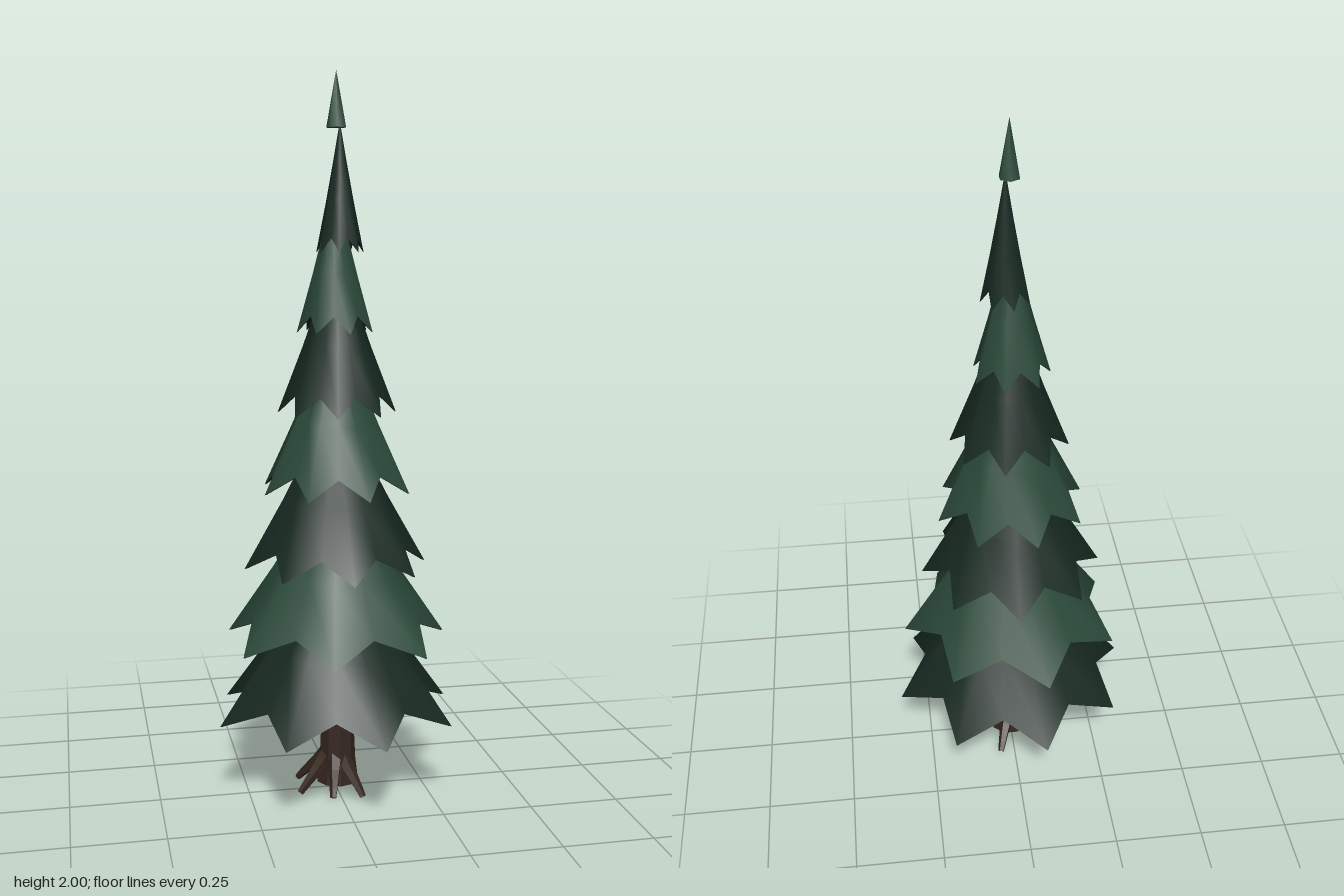
import * as THREE from 'three';

const material = (color, flatShading) =>
  new THREE.MeshStandardMaterial({ color, flatShading, side: THREE.DoubleSide });
const lightGreen = material(0x2b4a3a, false);
const darkGreen = material(0x182a22, false);
const shade = material(0x17131a, false);
const bark = material(0x35261f, true);

// Pleated skirt of branches: a hollow cone whose hem alternates tips and valleys
function skirtGeometry({ tips, radius, bottom, top, phase }) {
  const sides = tips * 2, height = top - bottom;
  // share of height from the apex, share of radius, valley depth, valley lift
  const rings = [[0, 0.02, 0, 0], [0.3, 0.29, 0.07, 0], [0.6, 0.58, 0.12, 0.01], [1, 1, 0.24, 0.115]];
  const positions = [], index = [];
  rings.forEach(([drop, spread, depth, lift], k) => {
    for (let j = 0; j < sides; j++) {
      const valley = j % 2;
      const angle = THREE.MathUtils.degToRad(phase) + (j / sides) * Math.PI * 2;
      const r = radius * spread * (1 - depth * valley);
      positions.push(r * Math.cos(angle), top - height * (drop - lift * valley), r * Math.sin(angle));
      if (k > 0) {
        const next = (j + 1) % sides, u = (k - 1) * sides, l = k * sides;
        index.push(u + j, u + next, l + j, u + next, l + next, l + j);
      }
    }
  });
  const geometry = new THREE.BufferGeometry();
  geometry.setAttribute('position', new THREE.Float32BufferAttribute(positions, 3));
  geometry.setIndex(index);
  geometry.computeVertexNormals();
  return geometry;
}

// Root: a tapering limb that bends from the trunk down to the ground
function rootGeometry(reach) {
  const curve = new THREE.CatmullRomCurve3([
    new THREE.Vector3(0.025, 0.11, 0),
    new THREE.Vector3(0.055, 0.075, 0),
    new THREE.Vector3(reach * 0.8, 0.035, 0),
    new THREE.Vector3(reach, 0.01, 0),
  ]);
  const segments = 5, sides = 5;
  const geometry = new THREE.TubeGeometry(curve, segments, 0.023, sides);
  const position = geometry.attributes.position, point = new THREE.Vector3();
  for (let i = 0; i < position.count; i++) {
    const t = Math.floor(i / (sides + 1)) / segments;
    const centre = curve.getPointAt(t);
    point.fromBufferAttribute(position, i).sub(centre).multiplyScalar(1 - 0.6 * t).add(centre);
    position.setXYZ(i, point.x, Math.max(point.y, 0), point.z);
  }
  return geometry;
}

export function createModel() {
  const tree = new THREE.Group();
  tree.name = 'pineTree';
  const add = (name, geometry, material, x = 0, y = 0, z = 0, parent = tree) => {
    const mesh = new THREE.Mesh(geometry, material);
    mesh.name = name;
    mesh.position.set(x, y, z);
    parent.add(mesh);
    return mesh;
  };

  // Trunk with a flared foot
  const trunkProfile = [[0, 0.025], [0.06, 0.025], [0.052, 0.09], [0.047, 0.2], [0.042, 0.6], [0, 0.6]]
    .map(([r, y]) => new THREE.Vector2(r, y));
  add('trunk', new THREE.LatheGeometry(trunkProfile, 9), bark, 0.004);

  // Roots: direction in degrees and reach
  const roots = new THREE.Group();
  roots.name = 'roots';
  tree.add(roots);
  [[62, 0.12], [105, 0.1], [158, 0.12], [215, 0.12], [290, 0.125]].forEach(([angle, reach]) => {
    add('root', rootGeometry(reach), bark, 0, 0, 0, roots).rotation.y = -THREE.MathUtils.degToRad(angle);
  });

  // Branch skirts from the lowest to the highest, each with a dark lining just inside
  const skirts = [
    { tips: 8, radius: 0.345, bottom: 0.23, top: 0.72, phase: -11.5 },
    { tips: 7, radius: 0.315, bottom: 0.445, top: 0.93, phase: -1 },
    { tips: 8, radius: 0.257, bottom: 0.655, top: 1.13, phase: 0 },
    { tips: 8, radius: 0.213, bottom: 0.87, top: 1.34, phase: 31 },
    { tips: 8, radius: 0.163, bottom: 1.085, top: 1.53, phase: 10, x: 0.004, z: -0.004 },
    { tips: 7, radius: 0.106, bottom: 1.305, top: 1.7, phase: 27, x: 0, z: -0.008 },
    { tips: 7, radius: 0.066, bottom: 1.52, top: 1.86, phase: 0, x: 0.013, z: -0.008 },
  ];
  skirts.forEach((skirt, i) => {
    const lining = { ...skirt, radius: skirt.radius * 0.985, top: skirt.top - 0.008 };
    add('branchSkirt' + (i + 1), skirtGeometry(skirt), i % 2 ? lightGreen : darkGreen, skirt.x, 0, skirt.z);
    add('branchLining' + (i + 1), skirtGeometry(lining), shade, skirt.x, 0, skirt.z);
  });

  // Pointed top
  add('treetop', new THREE.ConeGeometry(0.028, 0.15, 6), lightGreen, 0.003, 1.925, -0.008);
  return tree;
}
